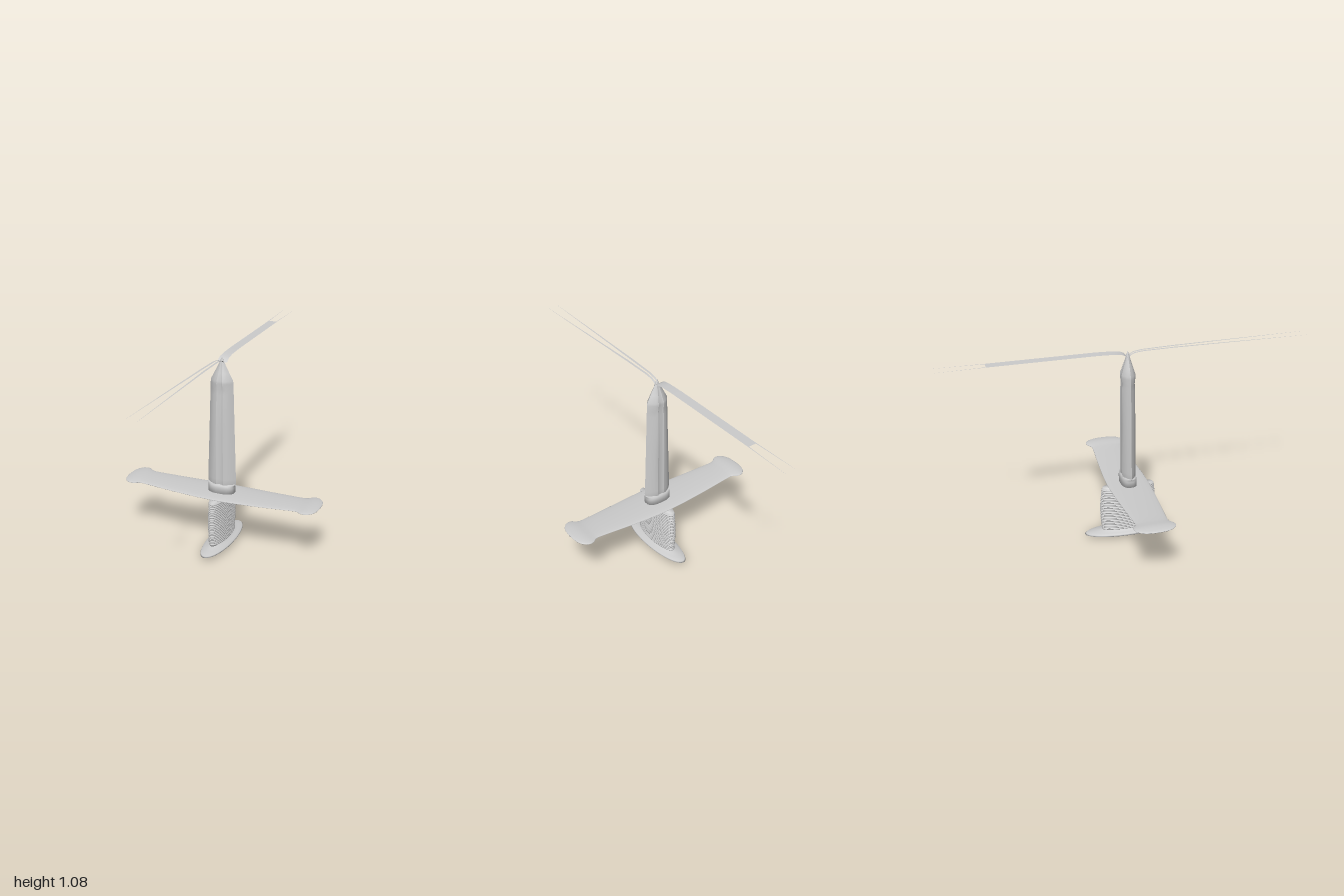
import * as THREE from 'three';
import { toCreasedNormals } from 'three/addons/utils/BufferGeometryUtils.js';

const solid = new THREE.MeshStandardMaterial({ color: 0xcccccc });
const thin = new THREE.MeshStandardMaterial({ color: 0xcccccc, side: THREE.DoubleSide });

// Skin over rings of points that run counter-clockwise about the advance direction
function loft(rings) {
  const n = rings[0].length, m = rings.length, pos = [], idx = [];
  rings.forEach(r => r.forEach(p => pos.push(...p)));
  for (let i = 0; i < m - 1; i++) for (let j = 0; j < n; j++) {
    const k = (j + 1) % n, a = i * n + j, b = i * n + k, c = b + n, d = a + n;
    idx.push(a, b, c, a, c, d);
  }
  [0, m - 1].forEach(e => {
    const centre = pos.length / 3;
    pos.push(...[0, 1, 2].map(q => rings[e].reduce((s, p) => s + p[q], 0) / n));
    for (let j = 0; j < n; j++) {
      const a = e * n + j, b = e * n + (j + 1) % n;
      if (e) idx.push(a, b, centre); else idx.push(b, a, centre);
    }
  });
  const g = new THREE.BufferGeometry();
  g.setAttribute('position', new THREE.Float32BufferAttribute(pos, 3));
  g.setIndex(idx);
  g.computeVertexNormals();
  return g;
}

// Flat strip through rows of [z, y, x0, x1]
function ribbon(rows) {
  const pos = [], idx = [];
  rows.forEach(([z, y, x0, x1], i) => {
    pos.push(x0, y, z, x1, y, z);
    if (i) {
      const a = 2 * i - 2, up = rows[i][0] > rows[i - 1][0];
      idx.push(...(up ? [a, a + 2, a + 1, a + 1, a + 2, a + 3] : [a, a + 1, a + 2, a + 1, a + 3, a + 2]));
    }
  });
  const g = new THREE.BufferGeometry();
  g.setAttribute('position', new THREE.Float32BufferAttribute(pos, 3));
  g.setIndex(idx);
  g.computeVertexNormals();
  return g;
}

export function createModel() {
  const model = new THREE.Group();
  const add = (name, geo, mat = solid, parent = model) => {
    const mesh = new THREE.Mesh(geo, mat);
    mesh.name = name;
    parent.add(mesh);
    return mesh;
  };

  // Blade: faceted section with a shallow groove, on stations [y, half width, half depth]
  const quarter = [[0, 0.9], [0.14, 0.92], [0.26, 1], [0.5, 0.86], [0.78, 0.48]];
  const right = [...quarter, [1, 0], ...quarter.slice(1).reverse().map(([x, z]) => [x, -z])];
  const section = [...right, [0, -0.9], ...right.slice(1).reverse().map(([x, z]) => [-x, z])];
  const stations = [
    [0.36, 0.079, 0.034], [0.375, 0.082, 0.037], [0.4, 0.082, 0.037], [0.65, 0.074, 0.037],
    [0.88, 0.067, 0.036], [0.91, 0.066, 0.033], [0.945, 0.065, 0.038], [0.96, 0.063, 0.037],
    [1.0, 0.042, 0.025], [1.04, 0.021, 0.013], [1.065, 0.01, 0.008], [1.083, 0.001, 0.001],
  ];
  const blade = loft(stations.map(([y, w, d]) => section.map(([x, z]) => [x * w, y, z * d])));
  add('blade', toCreasedNormals(blade, 0.45));

  // Rounded collar where the blade meets the guard
  const superEllipse = (w, d, y, n = 32) => Array.from({ length: n }, (_, j) => {
    const t = j / n * Math.PI * 2, s = Math.sin(t), c = Math.cos(t);
    return [w * Math.sign(s) * Math.abs(s) ** 0.75, y, d * Math.sign(c) * Math.abs(c) ** 0.75];
  });
  add('bladeCollar', loft([[0.305, 0.075, 0.043], [0.35, 0.075, 0.043], [0.363, 0.077, 0.04], [0.37, 0.08, 0.032]]
    .map(([y, w, d]) => superEllipse(w, d, y))));

  // Crossguard: upward-bowed plate with flared ends, half stations [x, half depth, centre y, half thickness]
  const half = [
    [0, 0.115, 0.308, 0.01], [0.1, 0.112, 0.3085, 0.01], [0.25, 0.102, 0.311, 0.009], [0.4, 0.09, 0.316, 0.008],
    [0.45, 0.087, 0.318, 0.008], [0.47, 0.092, 0.319, 0.009], [0.49, 0.108, 0.32, 0.01], [0.51, 0.112, 0.321, 0.011],
    [0.53, 0.106, 0.321, 0.01], [0.55, 0.085, 0.321, 0.008], [0.561, 0.06, 0.321, 0.005], [0.566, 0.025, 0.321, 0.002],
  ];
  const full = [...half.slice(1).reverse().map(([x, ...r]) => [-x, ...r]), ...half];
  add('crossguard', loft(full.map(([x, d, y, h]) => Array.from({ length: 32 }, (_, j) => {
    const t = j / 32 * Math.PI * 2;
    return [x, y + h * Math.cos(t), d * Math.sin(t)];
  }))));

  // Grip: oval core wound with slightly tilted cord
  const gripDepth = y => 0.143 + 0.01 * Math.sin((y - 0.04) / 0.26 * Math.PI);
  const core = Array.from({ length: 9 }, (_, i) => 0.035 + i * 0.0335);
  add('gripCore', loft(core.map(y => Array.from({ length: 48 }, (_, j) => {
    const t = j / 48 * Math.PI * 2;
    return [0.037 * Math.sin(t), y, gripDepth(y) * Math.cos(t)];
  }))));
  const wrap = new THREE.Group();
  wrap.name = 'gripWrap';
  model.add(wrap);
  for (let i = 0; i < 24; i++) {
    const y = 0.05 + i * 0.0104;
    const pts = Array.from({ length: 40 }, (_, j) => {
      const t = j / 40 * Math.PI * 2;
      return new THREE.Vector3(0.039 * Math.sin(t), y + 0.003 * Math.cos(t), gripDepth(y) * Math.cos(t));
    });
    add('cordTurn', new THREE.TubeGeometry(new THREE.CatmullRomCurve3(pts, true), 64, 0.0056, 8, true), solid, wrap);
  }

  // Pommel: wide oval disc rising to a short neck
  const profile = [[0, 0.002], [0.35, 0.004], [0.7, 0.009], [0.94, 0.016], [1, 0.022], [0.97, 0.027],
    [0.8, 0.033], [0.6, 0.039], [0.54, 0.046], [0.5, 0.052], [0, 0.052]];
  const pommel = new THREE.LatheGeometry(profile.map(p => new THREE.Vector2(...p)), 64);
  pommel.scale(0.073, 1, 0.246);
  add('pommel', pommel);

  // Tip strip: solid band sweeping to the back, then two needle ends
  const top = 1.084;
  add('rearStrip', ribbon([[-0.004, 1.055, -0.027, 0.027], [-0.015, 1.066, -0.027, 0.027], [-0.035, 1.075, -0.027, 0.027],
    [-0.08, 1.081, -0.026, 0.026], [-0.17, top, -0.026, 0.026], [-0.74, top, -0.026, 0.026]]), thin);
  const prong = [[0.004, 1.055, 0.002, 0.012], [0.015, 1.066, 0.003, 0.013], [0.035, 1.075, 0.003, 0.014],
    [0.08, 1.081, 0.004, 0.016], [0.25, top, 0.007, 0.019], [0.6, top, 0.018, 0.025], [1, top, 0.03, 0.031]];
  const needle = [[-0.74, top, 0.021, 0.026], [-0.88, top, 0.026, 0.0285], [-1, top, 0.03, 0.031]];
  for (const s of [1, -1]) {
    const flip = rows => rows.map(([z, y, a, b]) => (s > 0 ? [z, y, a, b] : [z, y, -b, -a]));
    const side = s > 0 ? 'left' : 'right';
    add(side + 'FrontProng', ribbon(flip(prong)), thin);
    add(side + 'RearNeedle', ribbon(flip(needle)), thin);
  }
  return model;
}
